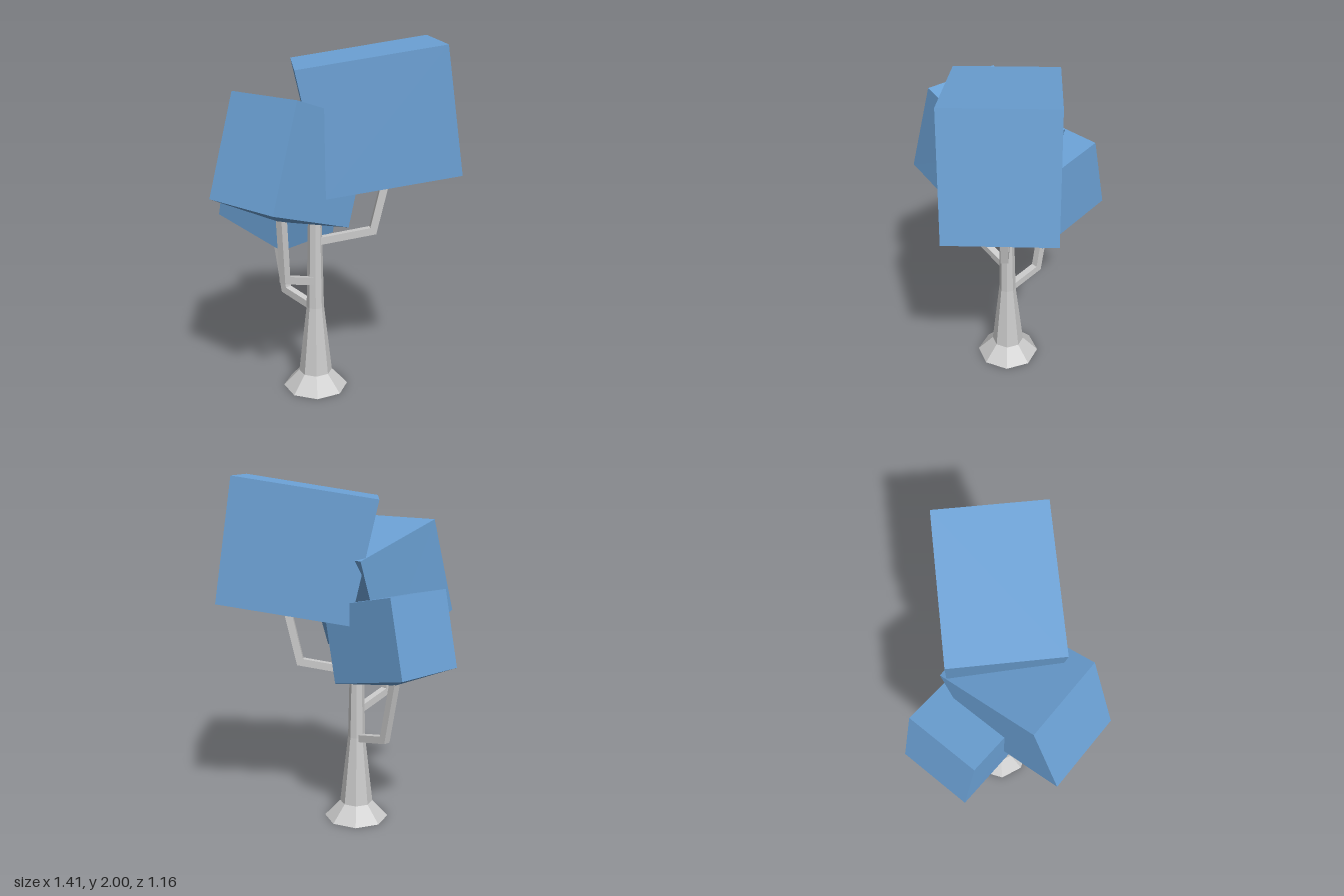
import * as THREE from 'three';

const bark = new THREE.MeshStandardMaterial({ color: 0xcbcbcb });
bark.name = 'bark grey';
bark.flatShading = true;
bark.side = THREE.DoubleSide;
const leaf = new THREE.MeshStandardMaterial({ color: 0x6ca2d6 });
leaf.name = 'foliage blue';
leaf.flatShading = true;

const V = (p) => new THREE.Vector3(...p);

function facetedMesh(name, points, faces, material) {
  const geometry = new THREE.BufferGeometry();
  geometry.setAttribute('position', new THREE.Float32BufferAttribute(points.flat(), 3));
  geometry.setIndex(faces.flat());
  const flat = geometry.toNonIndexed();
  flat.computeVertexNormals();
  const mesh = new THREE.Mesh(flat, material);
  mesh.name = name;
  return mesh;
}

// Six-sided foliage block; corners run front left, front right, back right, back left.
// The underside dips to a shallow point where the branch enters.
function foliageBlock(name, bottom, top, dip) {
  const faces = [[4, 5, 6], [4, 6, 7]];
  for (let i = 0; i < 4; i++) {
    const j = (i + 1) % 4;
    faces.push([i, j, j + 4], [i, j + 4, i + 4], [j, i, 8]);
  }
  return facetedMesh(name, [...bottom, ...top, dip], faces, leaf);
}

// Square branch swept through three points with a mitred elbow
function branch(name, path, half = 0.021) {
  const p = path.map(V);
  const d1 = p[1].clone().sub(p[0]).normalize();
  const d2 = p[2].clone().sub(p[1]).normalize();
  const mid = d1.clone().add(d2).normalize();
  const side = new THREE.Vector3().crossVectors(d1, d2).normalize();
  const points = [];
  [d1, mid, d2].forEach((dir, k) => {
    const across = new THREE.Vector3().crossVectors(side, dir).normalize();
    const stretch = k === 1 ? 1 / mid.dot(d1) : 1;
    for (const [a, b] of [[-1, -1], [1, -1], [1, 1], [-1, 1]]) {
      points.push(p[k].clone().addScaledVector(side, a * half)
        .addScaledVector(across, b * half * stretch).toArray());
    }
  });
  const faces = [];
  for (let ring = 0; ring < 2; ring++) {
    for (let i = 0; i < 4; i++) {
      const a = ring * 4 + i, b = ring * 4 + (i + 1) % 4;
      faces.push([a, b, b + 4], [a, b + 4, a + 4]);
    }
  }
  return facetedMesh(name, points, faces, bark);
}

export function createModel() {
  const tree = new THREE.Group();
  tree.name = 'tree';

  // Eight-sided trunk with a flared, open foot
  const profile = [[0.187, 0], [0.096, 0.095], [0.05, 0.5], [0.038, 1.07], [0, 1.07]]
    .map(([r, y]) => new THREE.Vector2(r, y));
  const trunk = new THREE.Mesh(new THREE.LatheGeometry(profile, 8, Math.PI / 8), bark);
  trunk.name = 'trunk';
  trunk.position.set(-0.102, 0, 0.027);
  tree.add(trunk);

  // Bent branches
  tree.add(
    branch('upperBranch', [[-0.1, 0.893, 0.027], [0.2, 0.95, 0.15], [0.268, 1.27, 0.177]]),
    branch('middleBranch', [[-0.1, 0.655, 0.027], [-0.33, 0.735, 0.122], [-0.35, 1.11, 0.13]]),
    branch('lowerBranch', [[-0.1, 0.49, 0.027], [-0.185, 0.54, -0.195], [-0.215, 0.92, -0.265]]),
  );

  // Foliage blocks
  tree.add(
    foliageBlock('upperFoliage',
      [[-0.175, 1.215, 0.3], [0.485, 1.33, 0.577], [0.703, 1.33, 0.05], [0.04, 1.215, -0.225]],
      [[-0.315, 1.88, 0.245], [0.39, 2, 0.538], [0.607, 2, 0.01], [-0.1, 1.88, -0.283]],
      [0.268, 1.235, 0.177]),
    foliageBlock('middleFoliage',
      [[-0.53, 1.215, 0.45], [0, 1.02, 0.235], [-0.175, 1.02, -0.195], [-0.705, 1.215, 0.02]],
      [[-0.36, 1.755, 0.375], [0.175, 1.565, 0.155], [0, 1.565, -0.275], [-0.535, 1.755, -0.055]],
      [-0.365, 1.075, 0.13]),
    foliageBlock('lowerFoliage',
      [[-0.315, 0.875, 0.045], [0.085, 0.875, -0.12], [-0.108, 0.985, -0.583], [-0.507, 0.985, -0.42]],
      [[-0.28, 1.295, 0.13], [0.12, 1.295, -0.035], [-0.073, 1.405, -0.497], [-0.47, 1.405, -0.335]],
      [-0.215, 0.875, -0.27]),
  );
  return tree;
}
